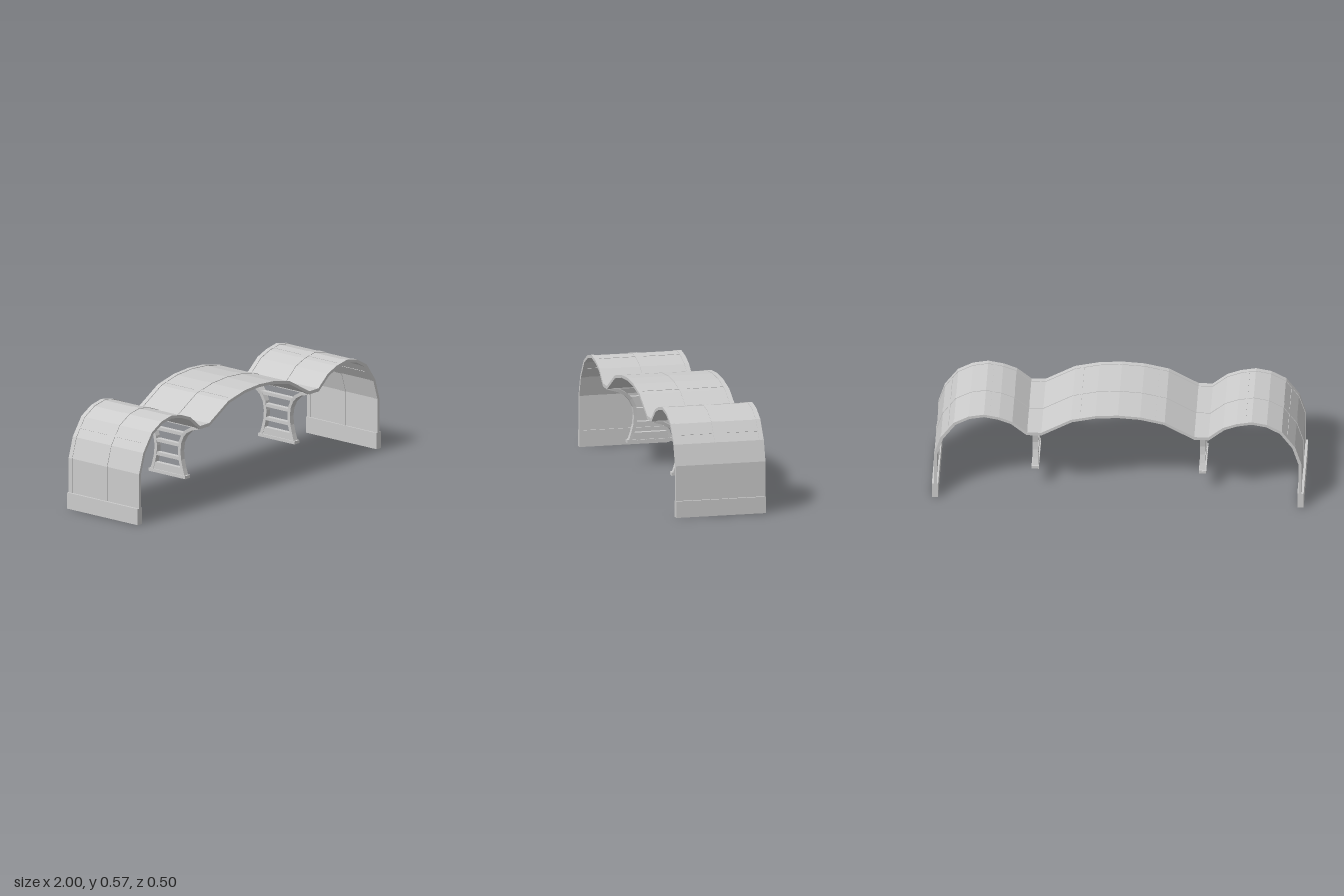
import * as THREE from 'three';

const material = new THREE.MeshStandardMaterial({ color: 0xcccccc, flatShading: true });

// Midline of the roof, from the side wall over the small vault and valley to the crown
const half = [
  [0.981, 0.08], [0.981, 0.28], [0.947, 0.39], [0.878, 0.487], [0.8, 0.53], [0.72, 0.545],
  [0.64, 0.53], [0.57, 0.503], [0.49, 0.436], [0.41, 0.436], [0.25, 0.527], [0.12, 0.556], [0, 0.564],
];
const profile = [...half, ...half.slice(0, -1).reverse().map(([x, y]) => [-x, y])]
  .map(([x, y]) => new THREE.Vector2(x, y));

function addMesh(parent, name, geometry, x = 0, y = 0, z = 0) {
  const mesh = new THREE.Mesh(geometry, material);
  mesh.name = name;
  mesh.position.set(x, y, z);
  parent.add(mesh);
  return mesh;
}

// Mitred normals along a polyline
function normalsOf(points) {
  return points.map((p, i) => {
    const a = points[Math.max(i - 1, 0)], b = points[Math.min(i + 1, points.length - 1)];
    const d0 = (i ? p.clone().sub(a) : b.clone().sub(p)).normalize();
    const d1 = (b === p ? d0.clone() : b.clone().sub(p)).normalize();
    const t = d0.clone().add(d1).normalize();
    return new THREE.Vector2(-t.y, t.x).divideScalar(t.dot(d0));
  });
}

// Strip of even thickness that follows the roof profile
function ribbon(thickness, depth) {
  const normals = normalsOf(profile);
  const side = (s) => profile.map((p, i) => p.clone().addScaledVector(normals[i], s * thickness / 2));
  const shape = new THREE.Shape([...side(1), ...side(-1).reverse()]);
  const geometry = new THREE.ExtrudeGeometry(shape, { depth, bevelEnabled: false });
  return geometry.translate(0, 0, -depth / 2);
}

// Plinth open at the bottom
function hollowPlinth(w, h, d, t) {
  const rect = (C, a, b) => new C([[-a, -b], [a, -b], [a, b], [-a, b]].map((p) => new THREE.Vector2(...p)));
  const shape = rect(THREE.Shape, w / 2, d / 2);
  shape.holes.push(rect(THREE.Path, w / 2 - t, d / 2 - t));
  return new THREE.ExtrudeGeometry(shape, { depth: h, bevelEnabled: false }).rotateX(-Math.PI / 2);
}

// Curved leg lofted from rectangles: height, distance from centre, half width
const legSections = [
  [0.13, 0.113, 0.016], [0.17, 0.1, 0.015], [0.22, 0.087, 0.015], [0.27, 0.083, 0.015], [0.32, 0.09, 0.016],
  [0.36, 0.11, 0.019], [0.39, 0.14, 0.025], [0.415, 0.185, 0.033], [0.43, 0.235, 0.041],
];
function legGeometry(thickness) {
  const line = legSections.map(([y, z]) => new THREE.Vector2(z, y));
  const normals = normalsOf(line);
  const vertices = [], index = [];
  legSections.forEach(([, , w], i) => {
    const inner = line[i].clone().addScaledVector(normals[i], thickness / 2);
    const outer = line[i].clone().addScaledVector(normals[i], -thickness / 2);
    vertices.push(w, inner.y, inner.x, w, outer.y, outer.x, -w, outer.y, outer.x, -w, inner.y, inner.x);
    if (!i) return;
    for (let k = 0; k < 4; k++) {
      const a = (i - 1) * 4 + k, b = (i - 1) * 4 + (k + 1) % 4;
      index.push(a, a + 4, b, b, a + 4, b + 4);
    }
  });
  const n = vertices.length / 3 - 4;
  index.push(0, 1, 2, 0, 2, 3, n, n + 2, n + 1, n, n + 3, n + 2);
  const geometry = new THREE.BufferGeometry();
  geometry.setAttribute('position', new THREE.Float32BufferAttribute(vertices, 3));
  geometry.setIndex(index);
  const flat = geometry.toNonIndexed();
  flat.computeVertexNormals();
  return flat;
}

function createColumn() {
  const column = new THREE.Group();
  column.name = 'column';
  const leg = legGeometry(0.018);
  addMesh(column, 'frontLeg', leg);
  addMesh(column, 'backLeg', leg).rotation.y = Math.PI;
  // Rungs between the legs
  for (const [y, length] of [[0.225, 0.17], [0.3, 0.17], [0.365, 0.22]]) {
    addMesh(column, 'rung', new THREE.BoxGeometry(0.026, 0.018, length), 0, y, 0);
  }
  // Solid foot with a wider hollow plinth
  addMesh(column, 'footPanel', new THREE.BoxGeometry(0.026, 0.04, 0.21), 0, 0.155, 0);
  addMesh(column, 'footPlinth', hollowPlinth(0.04, 0.014, 0.26, 0.004), 0, 0.12, 0);
  addMesh(column, 'footCap', new THREE.BoxGeometry(0.039, 0.006, 0.259), 0, 0.134, 0);
  return column;
}

export function createModel() {
  const model = new THREE.Group();
  model.name = 'vaultedCanopy';

  // Thin roof skin and the three raised ribs
  addMesh(model, 'roofSkin', ribbon(0.01, 0.495));
  for (const [z, width] of [[-0.2375, 0.025], [0, 0.045], [0.2375, 0.025]]) {
    addMesh(model, 'roofRib', ribbon(0.016, width), 0, 0, z);
  }

  // Purlins lying along the roof slope between the ribs
  for (const x of [0.912, 0.68, 0.21]) {
    const i = half.findIndex((p) => p[0] < x);
    const [x0, y0] = half[i - 1], [x1, y1] = half[i];
    const y = y0 + (y1 - y0) * (x - x0) / (x1 - x0);
    for (const s of [-1, 1]) for (const z of [-0.124, 0.124]) {
      const purlin = addMesh(model, 'purlin', new THREE.BoxGeometry(0.018, 0.014, 0.203), s * x, y, z);
      purlin.rotation.z = s * Math.atan2(y1 - y0, x1 - x0);
    }
  }

  for (const s of [-1, 1]) {
    // Wall plinths
    addMesh(model, 'wallPlinth', hollowPlinth(0.034, 0.09, 0.5, 0.004), s * 0.983, 0, 0);
    addMesh(model, 'plinthCap', new THREE.BoxGeometry(0.033, 0.004, 0.499), s * 0.983, 0.0875, 0);
    // Valley beam and its column
    addMesh(model, 'valleyBeam', new THREE.BoxGeometry(0.082, 0.014, 0.5), s * 0.45, 0.433, 0);
    const column = createColumn();
    column.position.x = s * 0.45;
    model.add(column);
  }
  return model;
}
